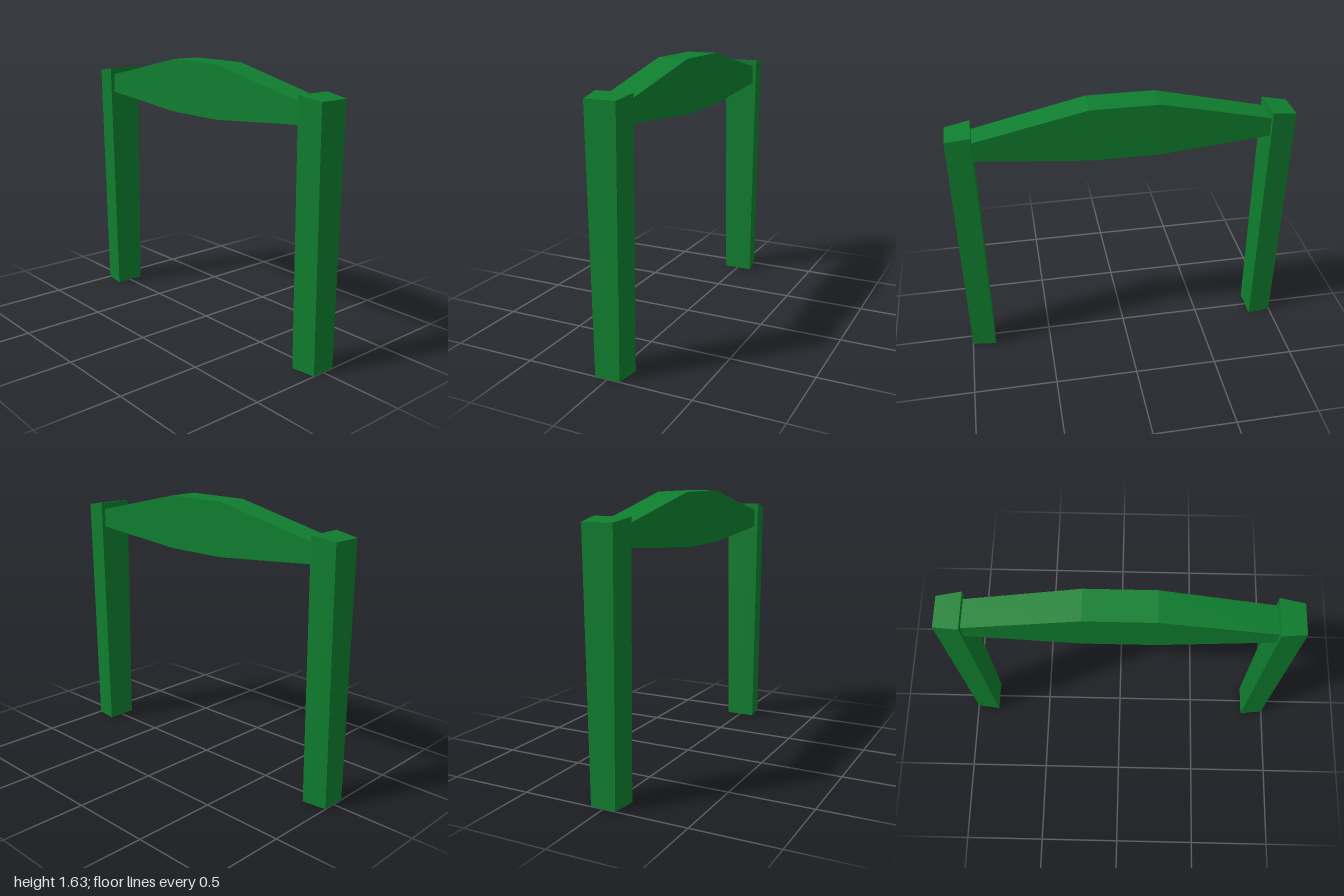
import * as THREE from 'three';

// Skins a row of four-cornered rings (counterclockwise about the loft direction) with flat faces
function loft(rings, capEnd) {
  const pos = [];
  const quad = (a, b, c, d) => pos.push(...a, ...b, ...c, ...a, ...c, ...d);
  for (let r = 0; r < rings.length - 1; r++) {
    const lo = rings[r], hi = rings[r + 1];
    for (let i = 0; i < 4; i++) {
      const j = (i + 1) % 4;
      quad(lo[i], lo[j], hi[j], hi[i]);
    }
  }
  if (capEnd) quad(...rings[rings.length - 1]);
  const geometry = new THREE.BufferGeometry();
  geometry.setAttribute('position', new THREE.Float32BufferAttribute(pos, 3));
  geometry.computeVertexNormals();
  return geometry;
}

export function createModel() {
  const group = new THREE.Group();
  const green = new THREE.MeshStandardMaterial({ color: 0x0f7e2f, side: THREE.DoubleSide });
  green.name = 'green';

  const add = (name, geometry) => {
    const mesh = new THREE.Mesh(geometry, green);
    mesh.name = name;
    group.add(mesh);
  };

  // Posts: wider towards the inside and the top, sloping cap, open underneath
  const outerX = 1, innerX = 0.855;
  const postRing = (side, yOuter, yInner, zOuter, zInner) => {
    const ring = [
      [side * outerX, yOuter, zOuter],
      [side * outerX, yOuter, -zOuter],
      [side * innerX, yInner, -zInner],
      [side * innerX, yInner, zInner],
    ];
    return side > 0 ? ring : ring.reverse();
  };
  for (const [name, side] of [['leftPost', 1], ['rightPost', -1]]) {
    add(name, loft([
      postRing(side, 0, 0, 0.075, 0.093),
      postRing(side, 1.5, 1.522, 0.092, 0.111),
    ], true));
  }

  // Crossbeam: deepest in the middle, tapering to both posts
  const beamRing = (x, y0, y1, z) => [[x, y0, -z], [x, y1, -z], [x, y1, z], [x, y0, z]];
  add('crossbeam', loft([
    beamRing(-innerX, 1.365, 1.48, 0.085),
    beamRing(-0.2, 1.31, 1.627, 0.093),
    beamRing(0.2, 1.31, 1.627, 0.093),
    beamRing(innerX, 1.365, 1.48, 0.085),
  ], false));

  return group;
}
